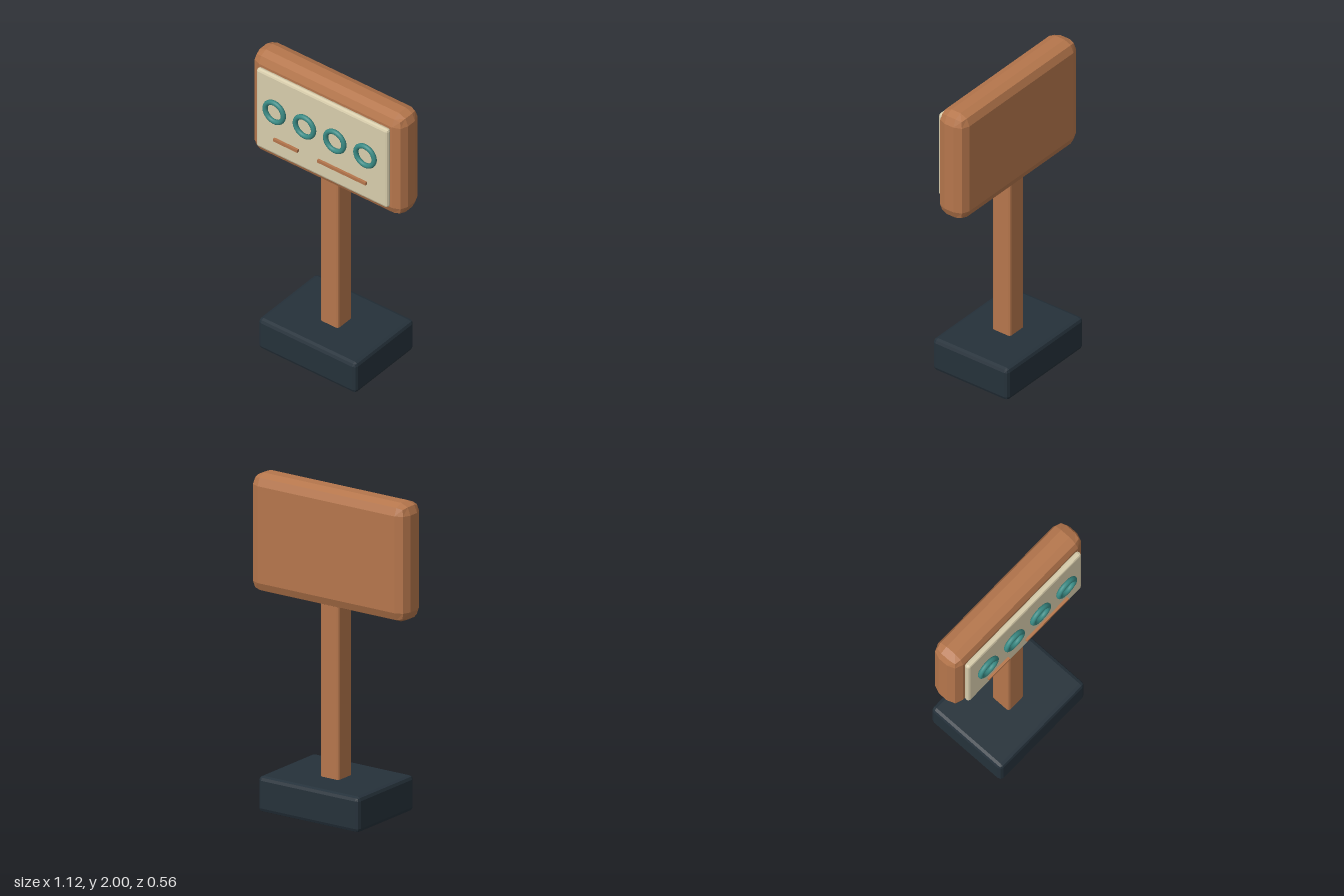
import * as THREE from 'three';
import { RoundedBoxGeometry } from 'three/addons/geometries/RoundedBoxGeometry.js';

function material(name, color, flatShading = true) {
  const m = new THREE.MeshStandardMaterial({ color, flatShading });
  m.name = name;
  return m;
}

export function createModel() {
  const group = new THREE.Group();
  group.name = 'signpost';

  const wood = material('wood', 0xb5764c);
  const cream = material('cream', 0xd8cdac);
  const teal = material('teal', 0x3a8a84, false);
  const slate = material('slate', 0x25313a);

  function add(name, geometry, mat, x, y, z) {
    const mesh = new THREE.Mesh(geometry, mat);
    mesh.name = name;
    mesh.position.set(x, y, z);
    group.add(mesh);
  }
  // Box with two-facet bevelled edges
  const bevelBox = (w, h, d, r) => new RoundedBoxGeometry(w, h, d, 1, r);

  // Stand
  add('base', bevelBox(0.73, 0.22, 0.56, 0.025), slate, 0, 0.115, 0);
  add('post', bevelBox(0.135, 1.12, 0.135, 0.015), wood, 0, 0.75, 0);

  // Sign head and its raised face panel
  add('signBoard', bevelBox(1.125, 0.73, 0.2, 0.067), wood, 0, 1.635, 0);
  add('facePanel', bevelBox(0.98, 0.575, 0.038, 0.016), cream, 0, 1.638, 0.119);

  // Row of four rings
  const ringGeometry = new THREE.TorusGeometry(0.068, 0.016, 10, 32);
  for (let i = 0; i < 4; i++) {
    add('ring' + (i + 1), ringGeometry, teal, (i - 1.5) * 0.2255, 1.683, 0.156);
  }

  // Two thin bars under the rings
  add('shortBar', new THREE.BoxGeometry(0.18, 0.019, 0.016), wood, -0.25, 1.482, 0.157);
  add('longBar', new THREE.BoxGeometry(0.36, 0.019, 0.016), wood, 0.168, 1.482, 0.157);

  // Stand the base exactly on the ground
  group.children[0].position.y = 0.11;
  group.children[0].scale.y = 1;
  return group;
}
